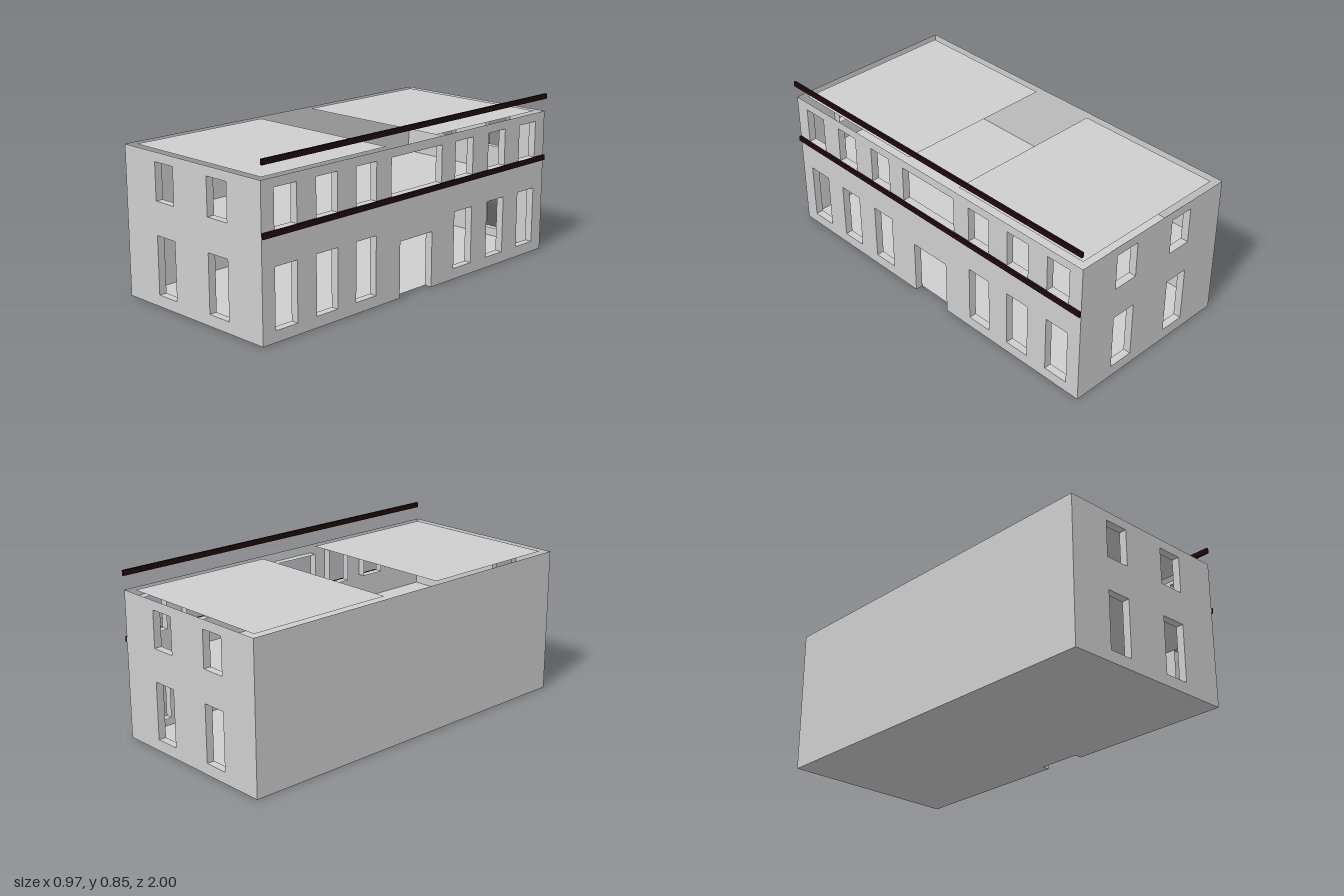
import * as THREE from 'three';

const X0 = -0.484, X1 = 0.472, H = 0.757, REVEAL = 0.04;

export function createModel() {
  const model = new THREE.Group();
  model.name = 'building';
  const plaster = new THREE.MeshStandardMaterial({ color: 0xcfcfcf, side: THREE.DoubleSide });
  plaster.name = 'grey plaster';
  const trim = new THREE.MeshStandardMaterial({ color: 0x1e0a0c });
  trim.name = 'dark trim';

  const add = (parent, name, geometry, material = plaster) => {
    const mesh = new THREE.Mesh(geometry, material);
    mesh.name = name;
    parent.add(mesh);
    return mesh;
  };
  const toPoints = (list) => list.map(([u, v]) => new THREE.Vector2(u, v));
  const rectangle = (u0, u1, v0, v1) => [[u0, v0], [u1, v0], [u1, v1], [u0, v1]];

  // Band that runs from an opening's edge straight back into the building
  const reveal = (parent, name, path) => {
    const positions = [], index = [];
    path.forEach(([u, v], i) => {
      positions.push(u, v, 0, u, v, -REVEAL);
      const a = 2 * i;
      if (i < path.length - 1) index.push(a, a + 1, a + 3, a, a + 3, a + 2);
    });
    let geometry = new THREE.BufferGeometry();
    geometry.setAttribute('position', new THREE.Float32BufferAttribute(positions, 3));
    geometry.setIndex(index);
    geometry = geometry.toNonIndexed();
    geometry.computeVertexNormals();
    add(parent, name, geometry);
  };

  // Thin wall facing local +z, with windows [u0, u1, y0, y1] and their reveals
  const wall = (name, outline, windows = []) => {
    const group = new THREE.Group();
    group.name = name;
    const shape = new THREE.Shape(toPoints(outline));
    for (const w of windows) {
      const corners = rectangle(...w);
      shape.holes.push(new THREE.Path(toPoints(corners).reverse()));
      reveal(group, 'windowReveal', [...corners, corners[0]]);
    }
    add(group, name + 'Face', new THREE.ShapeGeometry(shape));
    model.add(group);
    return group;
  };

  // Level sheet from an outline in x and z
  const deck = (name, y, outline) => {
    const geometry = new THREE.ShapeGeometry(new THREE.Shape(toPoints(outline)));
    geometry.rotateX(Math.PI / 2);
    add(model, name, geometry).position.y = y;
  };

  // End walls, each with two windows on two storeys
  const endWindows = [];
  for (const [a, b] of [[-0.259, -0.128], [0.111, 0.246]]) {
    endWindows.push([a, b, 0.058, 0.353], [a, b, 0.521, 0.71]);
  }
  wall('frontWall', rectangle(X0, X1, 0, H), endWindows).position.z = 1;
  const back = wall('backWall', rectangle(-X1, -X0, 0, H),
    endWindows.map(([a, b, c, d]) => [-b, -a, c, d]));
  back.rotation.y = Math.PI;
  back.position.z = -1;

  // Street wall with a doorway and rows of windows
  const door = [[-0.115, 0], [-0.115, 0.287], [0.115, 0.287], [0.115, 0]];
  const streetWindows = [[-0.18, 0.18, 0.521, 0.712]];
  for (const c of [0.349, 0.604, 0.857]) {
    for (const s of [-1, 1]) {
      const a = s * c - 0.067, b = s * c + 0.067;
      streetWindows.push([a, b, 0.056, 0.353], [a, b, 0.521, 0.712]);
    }
  }
  const street = wall('streetWall', [[-1, 0], ...door, [1, 0], [1, H], [-1, H]], streetWindows);
  reveal(street, 'doorReveal', door);
  street.rotation.y = Math.PI / 2;
  street.position.x = X1;

  // Blind wall on the far side
  const blind = wall('blindWall', rectangle(-1, 1, 0, H));
  blind.rotation.y = -Math.PI / 2;
  blind.position.x = X0;

  // Ground floor notched at the doorway, upper floor, and two roof halves
  // that stop short of the walls and leave an open court between them
  const doorX = X1 - REVEAL;
  deck('groundFloor', 0, [
    [X0, -1], [X1, -1], [X1, -0.115], [doorX, -0.115], [doorX, 0.115], [X1, 0.115], [X1, 1], [X0, 1],
  ]);
  deck('upperFloor', 0.38, rectangle(X0, X1, -1, 1));
  deck('backRoof', H, rectangle(X0 + 0.04, doorX, -0.963, -0.178));
  deck('frontRoof', H, rectangle(X0 + 0.04, doorX, 0.175, 0.96));

  // Long dark rails on the street side
  for (const [name, y] of [['lowerRail', 0.508], ['upperRail', 0.838]]) {
    add(model, name, new THREE.BoxGeometry(0.012, 0.027, 2), trim).position.set(X1 + 0.006, y, 0);
  }

  return model;
}
